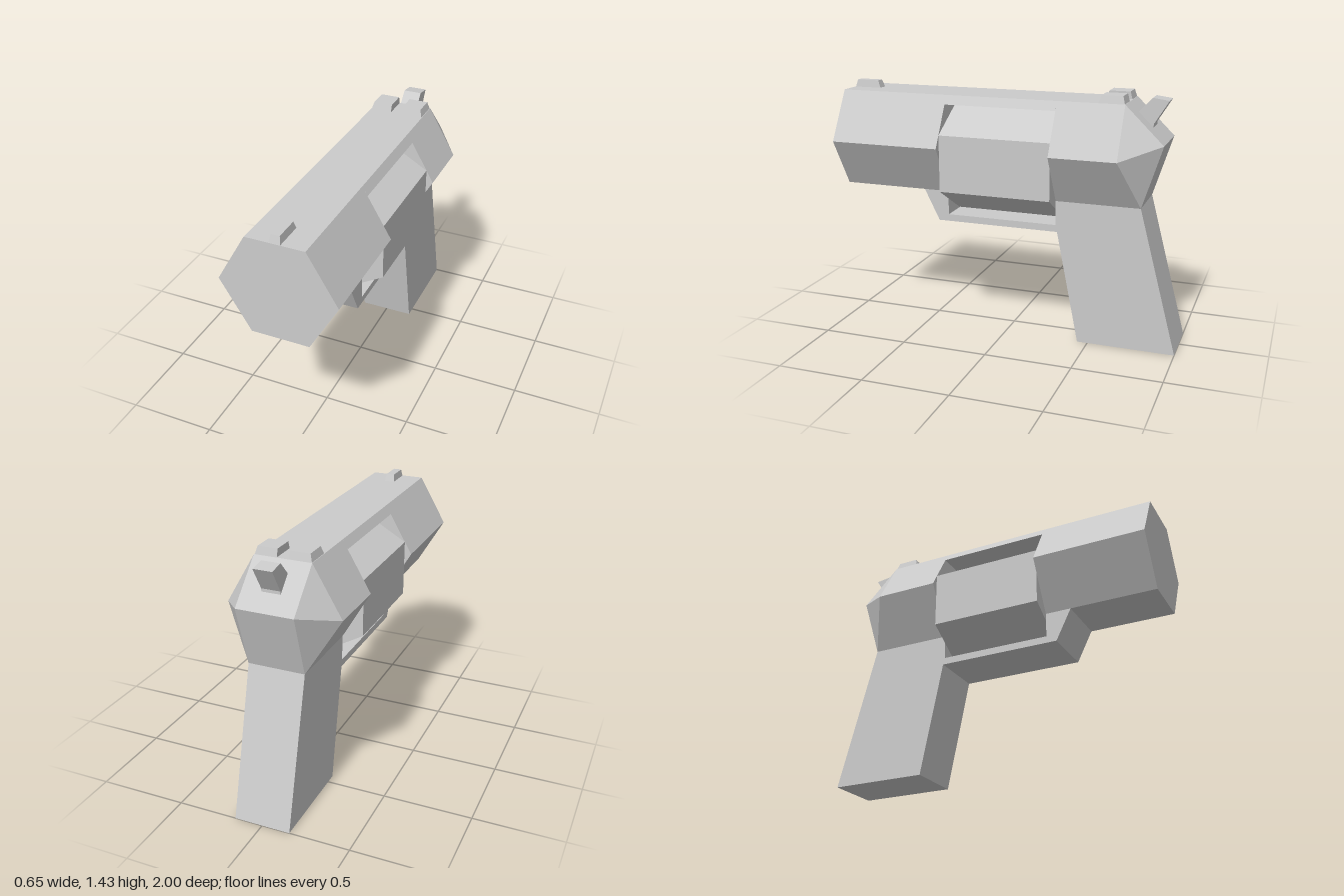
import * as THREE from 'three';
import { ConvexGeometry } from 'three/addons/geometries/ConvexGeometry.js';

const material = new THREE.MeshStandardMaterial({ color: 0xcccccc, flatShading: true });

function add(group, name, geometry) {
  const mesh = new THREE.Mesh(geometry, material);
  mesh.name = name;
  group.add(mesh);
  return mesh;
}

const shapeOf = (points) => new THREE.Shape(points.map(([a, b]) => new THREE.Vector2(a, b)));

// Cross-section in (x, y), extruded between two z positions
function alongZ(points, z0, z1) {
  return new THREE.ExtrudeGeometry(shapeOf(points), { depth: z1 - z0, bevelEnabled: false }).translate(0, 0, z0);
}

// Side profile in (z, y), extruded symmetrically across x
function acrossX(points, width) {
  return new THREE.ExtrudeGeometry(shapeOf(points), { depth: width, bevelEnabled: false })
    .translate(0, 0, -width / 2)
    .rotateY(-Math.PI / 2);
}

const hull = (points) => new ConvexGeometry(points.map((p) => new THREE.Vector3(...p)));

// Block with a smaller top: each range is [min, max]
function sightBlock(bottomX, topX, bottomZ, topZ) {
  const points = [];
  for (const i of [0, 1]) for (const j of [0, 1]) {
    points.push([bottomX[i], 1.38, bottomZ[j]], [topX[i], 1.432, topZ[j]]);
  }
  return hull(points);
}

export function createModel() {
  const group = new THREE.Group();
  const front = 0.35, back = -0.3; // ends of the drum window
  const hexagon = [[-0.16, 0.83], [0.16, 0.83], [0.323, 1.11], [0.16, 1.39], [-0.16, 1.39], [-0.323, 1.11]];

  // Barrel and the strap above the drum
  add(group, 'barrel', alongZ(hexagon, front, 1));
  add(group, 'topStrap', alongZ([[-0.19, 1.34], [0.19, 1.34], [0.16, 1.39], [-0.16, 1.39]], back, front));

  // Hexagonal rear body with faceted back
  const rear = hexagon.map(([x, y]) => [x, y, back]);
  for (const s of [-1, 1]) {
    rear.push([s * 0.16, 1.39, -0.675], [s * 0.323, 1.11, -0.675], [s * 0.16, 1.18, -0.89], [s * 0.16, 0.83, -0.78]);
  }
  add(group, 'rearBody', hull(rear));

  // Lower frame and grip in one profile, leaving the window open
  add(group, 'frameAndGrip', acrossX([
    [0.5, 0.83], [0.41, 0.65], [-0.31, 0.65], [-0.44, 0], [-1, 0], [-0.78, 0.83],
    [back, 0.83], [back, 0.69], [front, 0.69], [front, 0.83],
  ], 0.32));

  // Six-sided drum with a corner pointing up
  const drum = [];
  for (let i = 0; i < 6; i++) {
    const a = Math.PI / 2 + (i * Math.PI) / 3;
    drum.push([0.325 * Math.cos(a), 1.018 + 0.325 * Math.sin(a)]);
  }
  add(group, 'drum', alongZ(drum, back, front));

  // Sights
  add(group, 'frontSight', sightBlock([-0.032, 0.032], [-0.024, 0.024], [0.83, 1], [0.85, 0.985]));
  for (const [s, name] of [[1, 'rearSightLeft'], [-1, 'rearSightRight']]) {
    add(group, name, sightBlock([s * 0.034, s * 0.16], [s * 0.034, s * 0.145], [-0.675, -0.525], [-0.66, -0.542]));
  }

  // Hammer rising from the sloped back
  add(group, 'hammer', acrossX([
    [-0.7, 1.31], [-0.76, 1.2], [-0.81, 1.25], [-0.81, 1.275], [-0.89, 1.405], [-0.8, 1.417],
  ], 0.105));

  return group;
}
